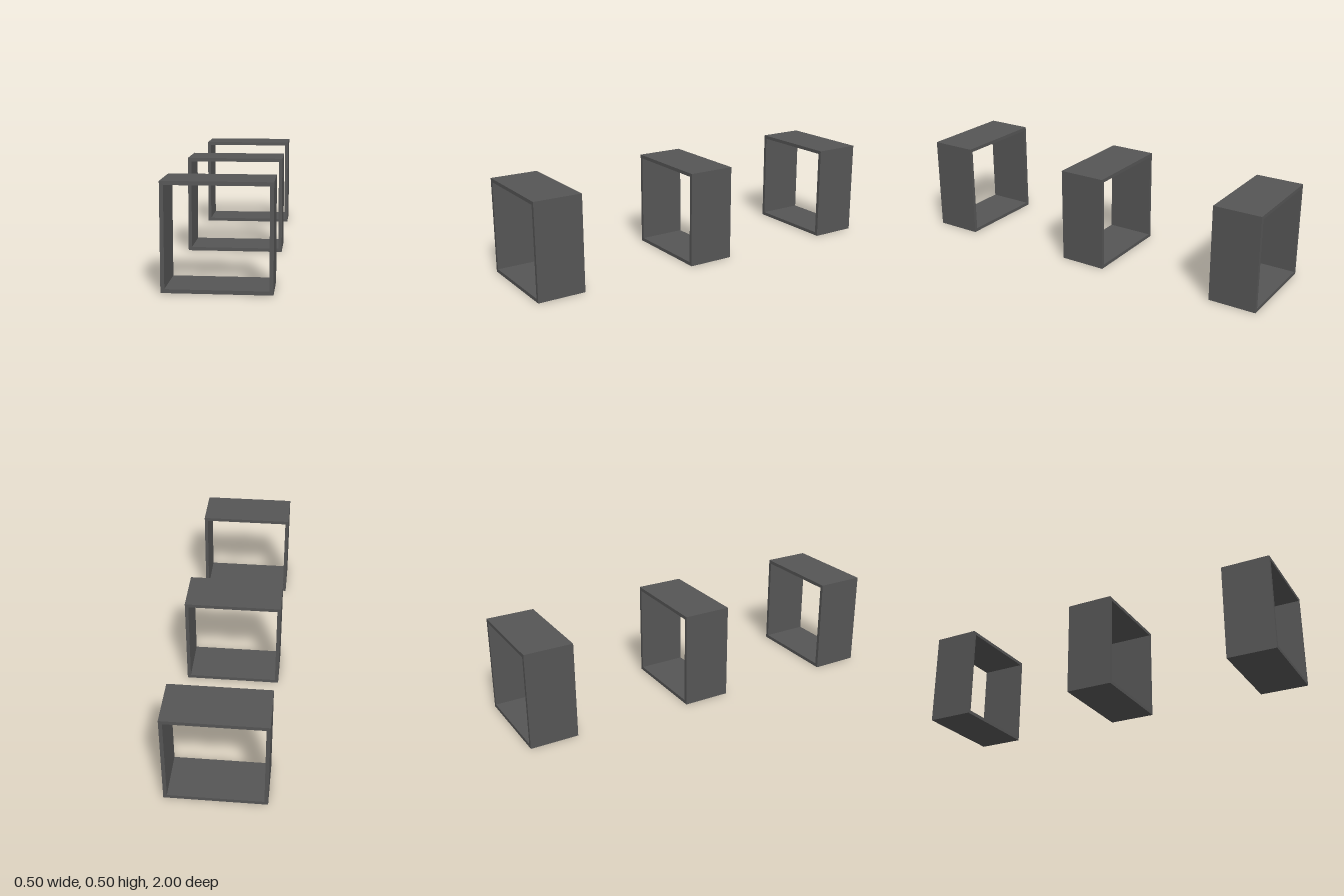
import * as THREE from 'three';

const SIZE = 0.5, DEPTH = 0.25, WALL = 0.018;

// Square outline, centred on the origin
function square(target, half) {
  target.moveTo(-half, -half);
  target.lineTo(half, -half);
  target.lineTo(half, half);
  target.lineTo(-half, half);
  target.closePath();
  return target;
}

export function createModel() {
  const model = new THREE.Group();
  model.name = 'cubeShelves';

  const darkGrey = new THREE.MeshStandardMaterial({ color: 0x555555 });
  darkGrey.name = 'darkGrey';

  // Open square box: outer outline with a square hole, extruded along z
  const outline = square(new THREE.Shape(), SIZE / 2);
  outline.holes.push(square(new THREE.Path(), SIZE / 2 - WALL));
  const frame = new THREE.ExtrudeGeometry(outline, { depth: DEPTH, bevelEnabled: false });
  frame.translate(0, SIZE / 2, -DEPTH / 2);

  // Three equal shelves in a row from front to back
  const places = { frontShelf: 0.875, middleShelf: 0, backShelf: -0.875 };
  for (const [name, z] of Object.entries(places)) {
    const shelf = new THREE.Mesh(frame, darkGrey);
    shelf.name = name;
    shelf.position.z = z;
    model.add(shelf);
  }
  return model;
}
